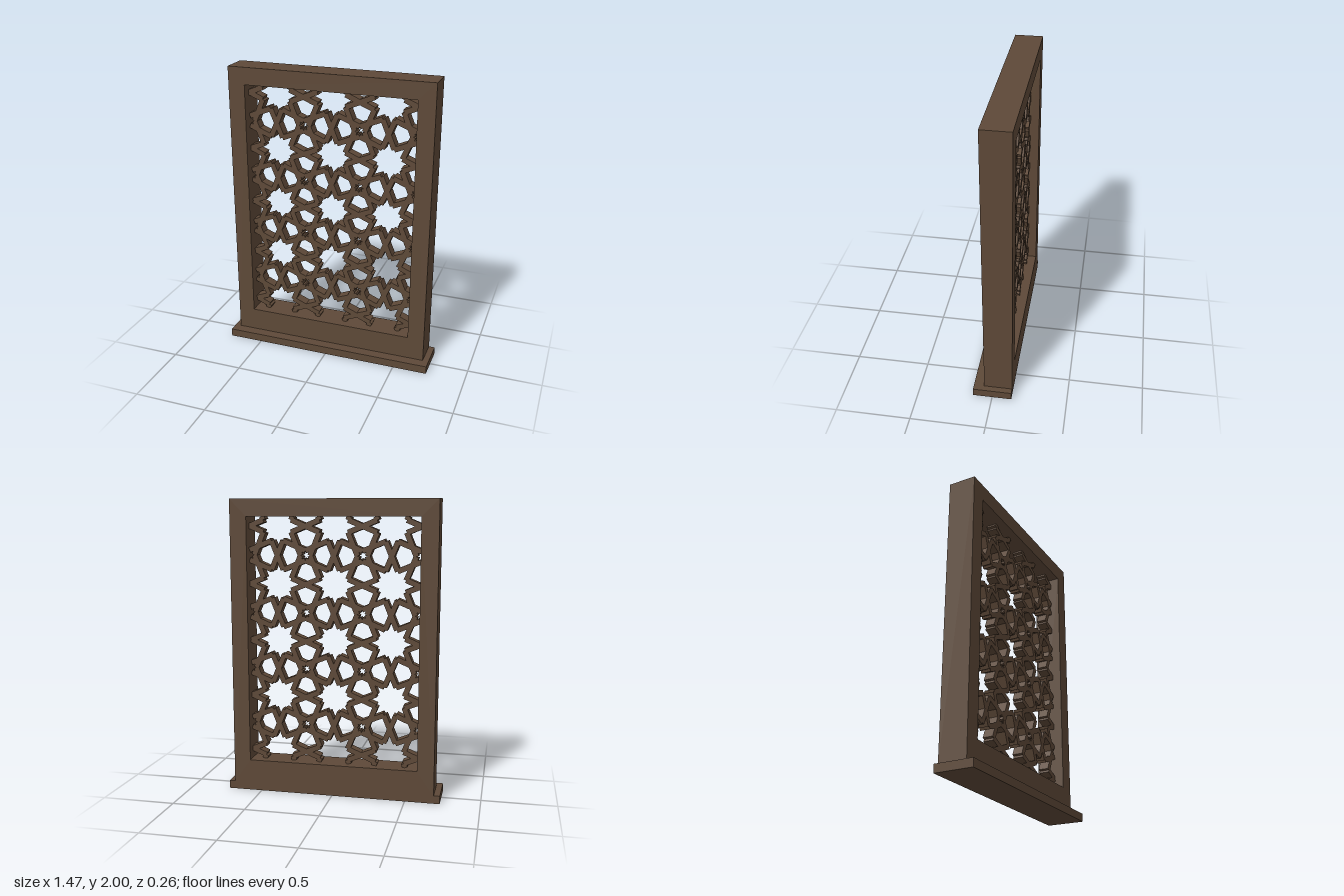
import * as THREE from 'three';

const OPEN = { x: 0.58, y0: 0.215, y1: 1.885 };   // window opening
const CELL = 0.385;                               // lattice pitch
const BAR_W = 0.035, BAR_D = 0.07, MID_Z = -0.035;

export function createModel() {
  const wood = new THREE.MeshStandardMaterial({ color: 0x5e4938 });
  wood.name = 'dark wood';
  const model = new THREE.Group();
  model.name = 'latticeWindow';

  // Sill slab projecting forward under the frame
  const sill = new THREE.Mesh(new THREE.BoxGeometry(1.47, 0.055, 0.26), wood);
  sill.name = 'sill';
  sill.position.y = 0.0275;
  model.add(sill);

  // Frame with a rectangular opening
  const rect = (path, x, y0, y1) =>
    path.moveTo(-x, y0).lineTo(x, y0).lineTo(x, y1).lineTo(-x, y1).closePath();
  const outline = new THREE.Shape();
  rect(outline, 0.694, 0.055, 2);
  const hole = new THREE.Path();
  rect(hole, OPEN.x, OPEN.y0, OPEN.y1);
  outline.holes.push(hole);
  const frame = new THREE.Mesh(
    new THREE.ExtrudeGeometry(outline, { depth: 0.19, bevelEnabled: false }), wood);
  frame.name = 'frame';
  frame.position.z = -0.13;
  model.add(frame);

  // Lattice of square-ended bars, trimmed at the top and bottom of the opening
  const lattice = new THREE.Group();
  lattice.name = 'starLattice';
  lattice.position.z = MID_Z;
  model.add(lattice);

  function addBar(a, b) {
    const [lo, hi] = a.y < b.y ? [a.clone(), b.clone()] : [b.clone(), a.clone()];
    if (hi.y <= OPEN.y0 || lo.y >= OPEN.y1) return;
    const low = lo.clone(), d = hi.clone().sub(lo);
    if (lo.y < OPEN.y0) lo.addScaledVector(d, (OPEN.y0 - low.y) / d.y);
    if (hi.y > OPEN.y1) hi.copy(low).addScaledVector(d, (OPEN.y1 - low.y) / d.y);
    const bar = new THREE.Mesh(
      new THREE.BoxGeometry(lo.distanceTo(hi), BAR_W, BAR_D), wood);
    bar.name = 'latticeBar';
    bar.position.set((lo.x + hi.x) / 2, (lo.y + hi.y) / 2, 0);
    bar.rotation.z = Math.atan2(d.y, d.x);
    lattice.add(bar);
  }

  // Each cell holds an eight-pointed star, with a quarter of a small star at each corner
  const half = CELL / 2, e = Math.PI / 8;
  const inner = half * Math.sin(e) / Math.cos(Math.PI / 4);
  const squareApothem = half * (Math.SQRT2 - 1);
  const small = squareApothem * Math.sin(e) / Math.cos(e) / (1 + Math.tan(e)) * Math.SQRT2;
  const polar = (r, a) => new THREE.Vector2(r * Math.cos(a), r * Math.sin(a));

  for (let col = -1; col <= 1; col++) for (let row = -2; row <= 2; row++) {
    const centre = new THREE.Vector2(col * CELL, 1.052 + row * CELL);
    for (let k = 0; k < 4; k++) {
      const axis = k * Math.PI / 2, diagonal = axis + Math.PI / 4;
      for (const s of [-1, 1]) {
        // Short bar from the middle of a cell side
        addBar(polar(half, axis).add(centre), polar(inner, axis + s * e).add(centre));
        // Long bar running on into the small corner star
        const corner = polar(half * Math.SQRT2, diagonal).add(centre);
        const tip = polar(small, diagonal + Math.PI - s * Math.PI / 4).add(corner);
        addBar(polar(inner, diagonal + s * e).add(centre),
          pickCollinear(polar(inner, diagonal + s * e).add(centre),
            polar(half, diagonal).add(centre), tip,
            polar(small, diagonal + Math.PI + s * Math.PI / 4).add(corner)));
      }
    }
  }
  return model;
}

// Of two candidate ends, returns the one lying on the line through a and b
function pickCollinear(a, b, p, q) {
  const off = (t) => Math.abs((b.x - a.x) * (t.y - a.y) - (b.y - a.y) * (t.x - a.x));
  return off(p) < off(q) ? p : q;
}
